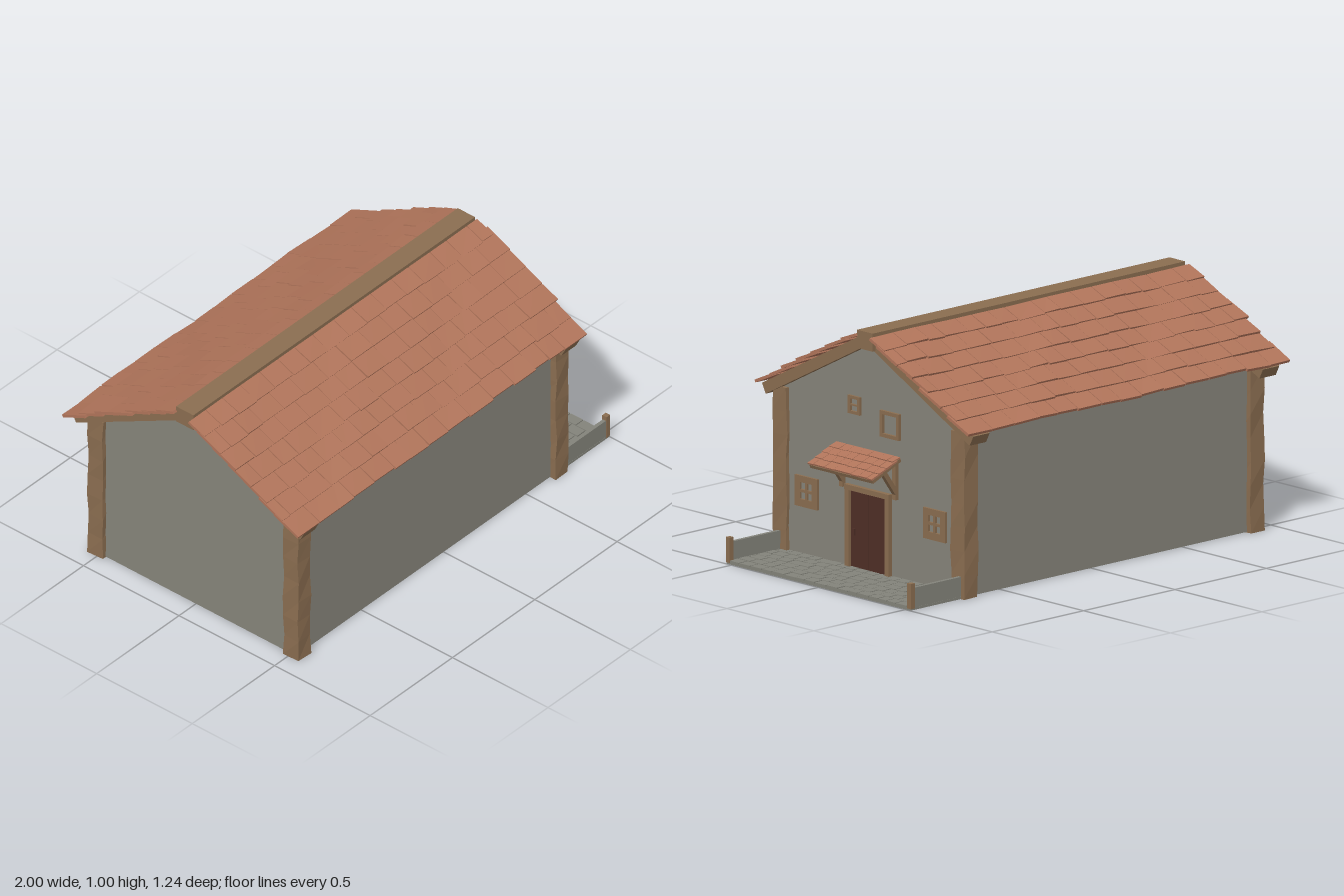
import * as THREE from 'three';
import { mergeGeometries } from 'three/addons/utils/BufferGeometryUtils.js';

const mat = (name, color) => Object.assign(new THREE.MeshStandardMaterial({ color, flatShading: true }), { name });
const plaster = mat('plaster', 0x86847a);
const timber = mat('timber', 0x8a6d50);
const clay = mat('clayTile', 0xb0745a);
const doorWood = mat('doorWood', 0x4e2e26);
const stone = mat('stone', 0x83837a);

const WALL_X = 0.706; // face of the entrance gable
const PITCH = 0.48;   // roof angle in radians

function seeded(seed) {
  return () => {
    seed = (seed * 16807) % 2147483647;
    return seed / 2147483647;
  };
}

function add(parent, name, geometry, material, x = 0, y = 0, z = 0) {
  const mesh = new THREE.Mesh(geometry, material);
  mesh.name = name;
  mesh.position.set(x, y, z);
  parent.add(mesh);
  return mesh;
}

// Box given by its minimum and maximum corners
function block(parent, name, material, [x0, y0, z0], [x1, y1, z1]) {
  const g = new THREE.BoxGeometry(x1 - x0, y1 - y0, z1 - z0);
  return add(parent, name, g, material, (x0 + x1) / 2, (y0 + y1) / 2, (z0 + z1) / 2);
}

// Overlapping uneven tiles; top edge at the origin, running down along +z
function tileField(width, length, rows, tileWidth, thick, wave, seed) {
  const rand = seeded(seed);
  const step = length / rows;
  const tiles = [];
  for (let r = 0; r < rows; r++) {
    const end = width / 2 + (rand() - 0.5) * tileWidth * 0.15;
    let x = -width / 2 + rand() * tileWidth * 0.12;
    let first = true;
    while (x < end) {
      let w = tileWidth * (0.75 + 0.5 * rand()) * (first && r % 2 ? 0.55 : 1);
      if (end - x - w < tileWidth * 0.4) w = end - x;
      first = false;
      const gap = Math.min(0.003, tileWidth * 0.03);
      const tip = (r + 1) * step + (rand() - 0.5) * step * 0.08;
      const top = Math.max(0, (r - 0.45) * step);
      const skew = (rand() - 0.5) * tileWidth * 0.05;
      const lift = thick * (0.6 + 0.25 * rand());
      const g = new THREE.BoxGeometry(1, 1, 1);
      const p = g.attributes.position;
      for (let i = 0; i < p.count; i++) {
        const low = p.getZ(i) > 0;
        const px = x + (p.getX(i) + 0.5) * (w - gap) + (low ? skew : 0);
        const sag = wave * (Math.sin(px * 7 + r * 0.8) + 0.6 * Math.sin(px * 17 + r * 1.7));
        p.setXYZ(i, px, (p.getY(i) + 0.5) * thick + (low ? lift + sag : sag * 0.5), low ? tip : top);
      }
      tiles.push(g);
      x += w;
    }
  }
  const field = mergeGeometries(tiles);
  field.computeVertexNormals();
  return field;
}

// Flat frame facing +x; holes are [x, y, width, height] about the centre
function frame(parent, name, y, z, w, h, depth, holes) {
  const rect = (P, cx, cy, rw, rh) => {
    const s = new P();
    s.moveTo(cx - rw / 2, cy - rh / 2);
    s.lineTo(cx + rw / 2, cy - rh / 2);
    s.lineTo(cx + rw / 2, cy + rh / 2);
    s.lineTo(cx - rw / 2, cy + rh / 2);
    s.closePath();
    return s;
  };
  const shape = rect(THREE.Shape, 0, 0, w, h);
  holes.forEach((o) => shape.holes.push(rect(THREE.Path, ...o)));
  const g = new THREE.ExtrudeGeometry(shape, { depth, bevelEnabled: false }).rotateY(Math.PI / 2);
  return add(parent, name, g, timber, WALL_X, y, z);
}

// Hewn post with slightly uneven sides
function post(parent, name, x, z, seed) {
  const g = new THREE.BoxGeometry(0.074, 0.68, 0.078, 1, 7, 1);
  const p = g.attributes.position;
  for (let i = 0; i < p.count; i++) {
    const y = p.getY(i);
    p.setX(i, p.getX(i) + 0.003 * Math.sin(y * 19 + seed + p.getZ(i) * 30));
    p.setZ(i, p.getZ(i) + 0.003 * Math.sin(y * 23 + seed * 2 + p.getX(i) * 30));
  }
  g.computeVertexNormals();
  add(parent, name, g, timber, x, 0.345, z);
}

export function createModel() {
  const house = new THREE.Group();
  house.name = 'house';

  // Walls: gabled profile extruded along x
  const profile = new THREE.Shape();
  [[-0.525, 0.008], [0.525, 0.008], [0.525, 0.715], [0, 0.985], [-0.525, 0.715]]
    .forEach(([z, y], i) => (i ? profile.lineTo(z, y) : profile.moveTo(z, y)));
  const walls = new THREE.ExtrudeGeometry(profile, { depth: WALL_X + 0.9, bevelEnabled: false });
  add(house, 'walls', walls.rotateY(Math.PI / 2), plaster, -0.9);

  // Corner posts
  [-0.882, 0.684].forEach((x, i) => [-0.508, 0.515].forEach((z, j) => post(house, 'cornerPost', x, z, i * 2 + j)));

  // Roof: two slopes with rafters and tiles, and a ridge beam
  [1, -1].forEach((side) => {
    const half = new THREE.Group();
    half.name = side > 0 ? 'frontRoof' : 'backRoof';
    half.rotation.y = side > 0 ? 0 : Math.PI;
    const slope = new THREE.Group();
    slope.position.set(0, 0.98, 0.04);
    slope.rotation.x = PITCH;
    half.add(slope);
    [-0.9, 0.685].forEach((x) =>
      add(slope, 'rafter', new THREE.BoxGeometry(0.09, 0.046, 0.64), timber, x * side, -0.023, 0.32));
    add(slope, 'roofTiles', tileField(1.765, 0.64, 7, 0.115, 0.012, 0.0035, 41 + side * 7), clay, -0.115 * side, 0.001, 0);
    house.add(half);
  });
  block(house, 'ridgeBeam', timber, [-0.965, 0.932, -0.045], [0.745, 1.006, 0.045]);

  // Door with its frame, two leaves and handle
  [[-0.115, -0.09], [0.115, 0.14]].forEach(([a, b]) =>
    block(house, 'doorJamb', timber, [0.69, 0.015, a], [0.724, 0.335, b]));
  block(house, 'doorLintel', timber, [0.69, 0.335, -0.115], [0.726, 0.356, 0.14]);
  block(house, 'doorLeaf', doorWood, [0.69, 0.015, -0.09], [0.711, 0.335, 0.0115]);
  block(house, 'doorLeaf', doorWood, [0.69, 0.015, 0.0135], [0.711, 0.335, 0.115]);
  block(house, 'doorHandle', doorWood, [0.711, 0.152, 0.09], [0.719, 0.178, 0.102]);

  // Windows
  const panes = [-1, 1].flatMap((a) => [-1, 1].map((b) => [a * 0.02, b * 0.02 + 0.002, 0.028, 0.029]));
  [0.37, -0.367].forEach((z) => frame(house, 'lowerWindow', 0.277, z, 0.128, 0.126, 0.01, panes));
  frame(house, 'smallWindow', 0.683, 0.096, 0.07, 0.074, 0.01,
    [[0, 0.014, 0.04, 0.022], [0, -0.014, 0.04, 0.022]]);
  frame(house, 'loftWindow', 0.638, -0.111, 0.11, 0.108, 0.012, [[0, 0, 0.08, 0.078]]);

  // Awning over the door
  const awning = new THREE.Group();
  awning.name = 'awning';
  awning.position.set(0.712, 0.512, 0.0125);
  awning.rotation.y = Math.PI / 2;
  const lean = new THREE.Group();
  lean.rotation.x = 0.4;
  awning.add(lean);
  add(lean, 'awningBoard', new THREE.BoxGeometry(0.362, 0.014, 0.166), timber, 0, -0.007, 0.083);
  add(lean, 'awningTiles', tileField(0.375, 0.17, 4, 0.05, 0.007, 0.0008, 91), clay);
  house.add(awning);
  [0.163, -0.142].forEach((z) => {
    const brace = add(house, 'awningBrace', new THREE.BoxGeometry(0.02, 0.15, 0.02), timber, 0.751, 0.42, z);
    brace.rotation.z = -0.62;
    block(house, 'braceFoot', timber, [0.7, 0.34, z - 0.01], [0.722, 0.49, z + 0.01]);
  });

  // Paved porch: thin bed with staggered stones
  block(house, 'porchBed', stone, [0.7, 0.006, -0.53], [0.999, 0.016, 0.53]);
  const rand = seeded(17);
  const stones = [];
  for (let c = 0; c < 6; c++) {
    let z = -0.53;
    while (z < 0.529) {
      let len = 0.06 * (0.8 + 0.4 * rand()) * (z === -0.53 && c % 2 ? 0.5 : 1);
      if (0.53 - z - len < 0.02) len = 0.53 - z;
      const g = new THREE.BoxGeometry(0.045, 0.008, len - 0.005);
      stones.push(g.translate(0.7265 + c * 0.05, 0.017 + rand() * 0.002, z + len / 2));
      z += len;
    }
  }
  add(house, 'porchStones', mergeGeometries(stones), stone);

  // Low side walls with end posts
  [-1, 1].forEach((s) => {
    const z = s * 0.521;
    block(house, 'porchWall', stone, [0.71, 0.014, z - 0.008], [0.982, 0.096, z + 0.008]);
    block(house, 'porchPost', timber, [0.978, 0.012, z - 0.011], [1, 0.115, z + 0.011]);
  });

  return house;
}
